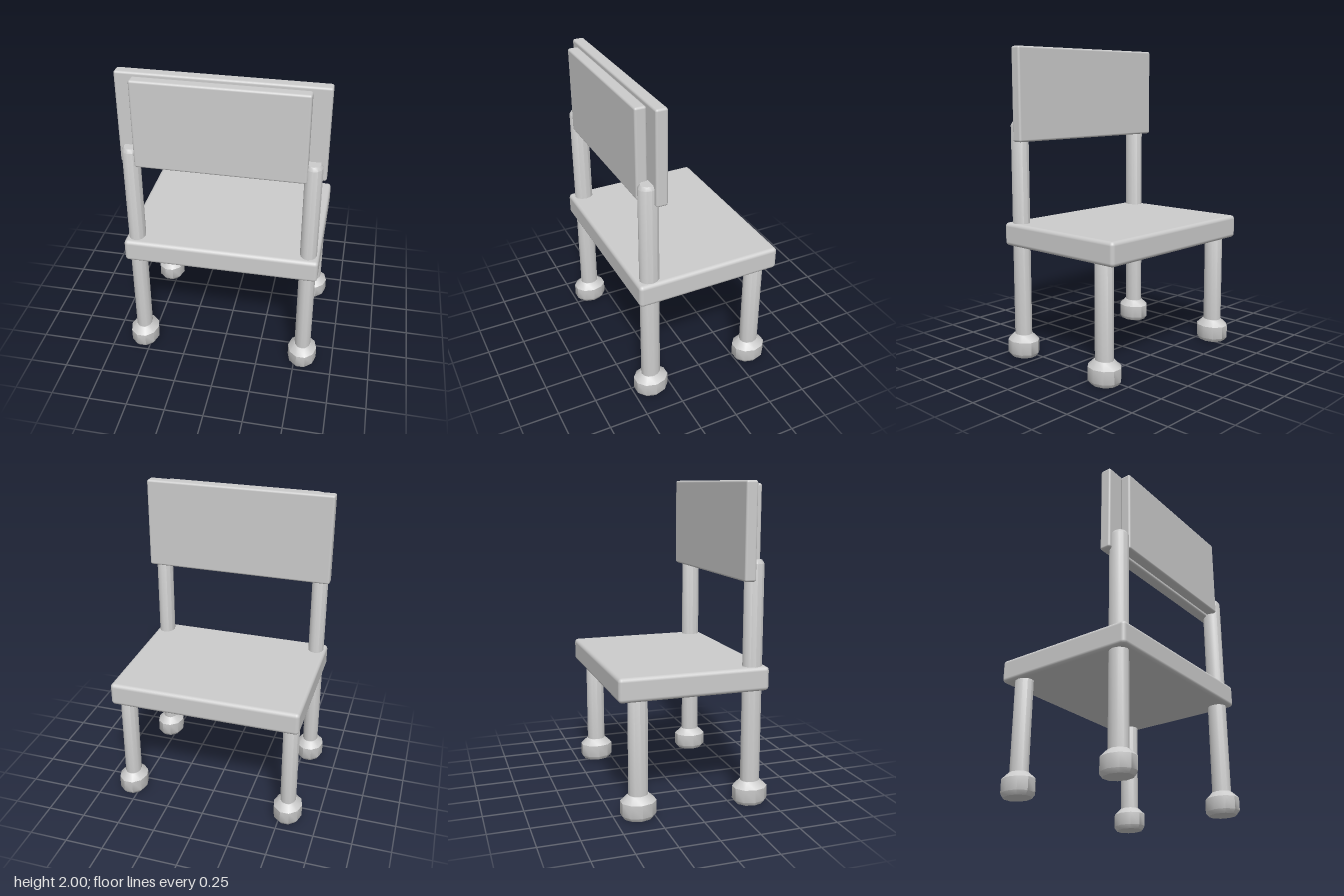
import * as THREE from 'three';
import { RoundedBoxGeometry } from 'three/addons/geometries/RoundedBoxGeometry.js';
import { toCreasedNormals } from 'three/addons/utils/BufferGeometryUtils.js';

const material = new THREE.MeshStandardMaterial({ color: 0xcccccc });

// Rounded slab given by its lower and upper corners
function slab(name, min, max, radius) {
  const size = max.map((v, i) => v - min[i]);
  const mesh = new THREE.Mesh(new RoundedBoxGeometry(...size, 3, radius), material);
  mesh.position.set(...max.map((v, i) => (v + min[i]) / 2));
  mesh.name = name;
  return mesh;
}

// Turned part from [radius, y] pairs, slightly deeper than wide
function turned(name, profile, sides, depth) {
  const points = profile.map(([r, y]) => new THREE.Vector2(r, y));
  const geometry = new THREE.LatheGeometry(points, sides, Math.PI / 2);
  geometry.scale(1, 1, depth);
  const mesh = new THREE.Mesh(toCreasedNormals(geometry, 0.66), material);
  mesh.name = name;
  return mesh;
}

// Post with a chamfered top standing in a bulbous foot
function leg(name, x, z, height) {
  const group = new THREE.Group();
  group.name = name;
  group.add(
    turned('post', [[0, 0.1], [0.053, 0.1], [0.053, height - 0.022], [0.04, height], [0, height]], 12, 1.18),
    turned('foot', [[0, 0], [0.078, 0], [0.095, 0.025], [0.095, 0.107], [0.057, 0.148], [0, 0.148]], 10, 1.18)
  );
  group.position.set(x, 0, z);
  return group;
}

export function createModel() {
  const chair = new THREE.Group();
  chair.name = 'chair';

  chair.add(slab('seat', [-0.617, 0.735, -0.483], [0.617, 0.885, 0.471], 0.025));

  // Backrest: wide panel plus a narrower one between the posts
  chair.add(slab('backPanel', [-0.622, 1.41, 0.29], [0.622, 2, 0.364], 0.014));
  chair.add(slab('innerBackPanel', [-0.516, 1.422, 0.366], [0.516, 1.982, 0.438], 0.014));

  // Short legs under the seat, tall posts carrying the backrest
  for (const [side, x] of [['left', 0.548], ['right', -0.548]]) {
    chair.add(leg(side + 'ShortLeg', x, -0.352, 0.78));
    chair.add(leg(side + 'TallLeg', x, 0.381, 1.535));
  }
  return chair;
}
